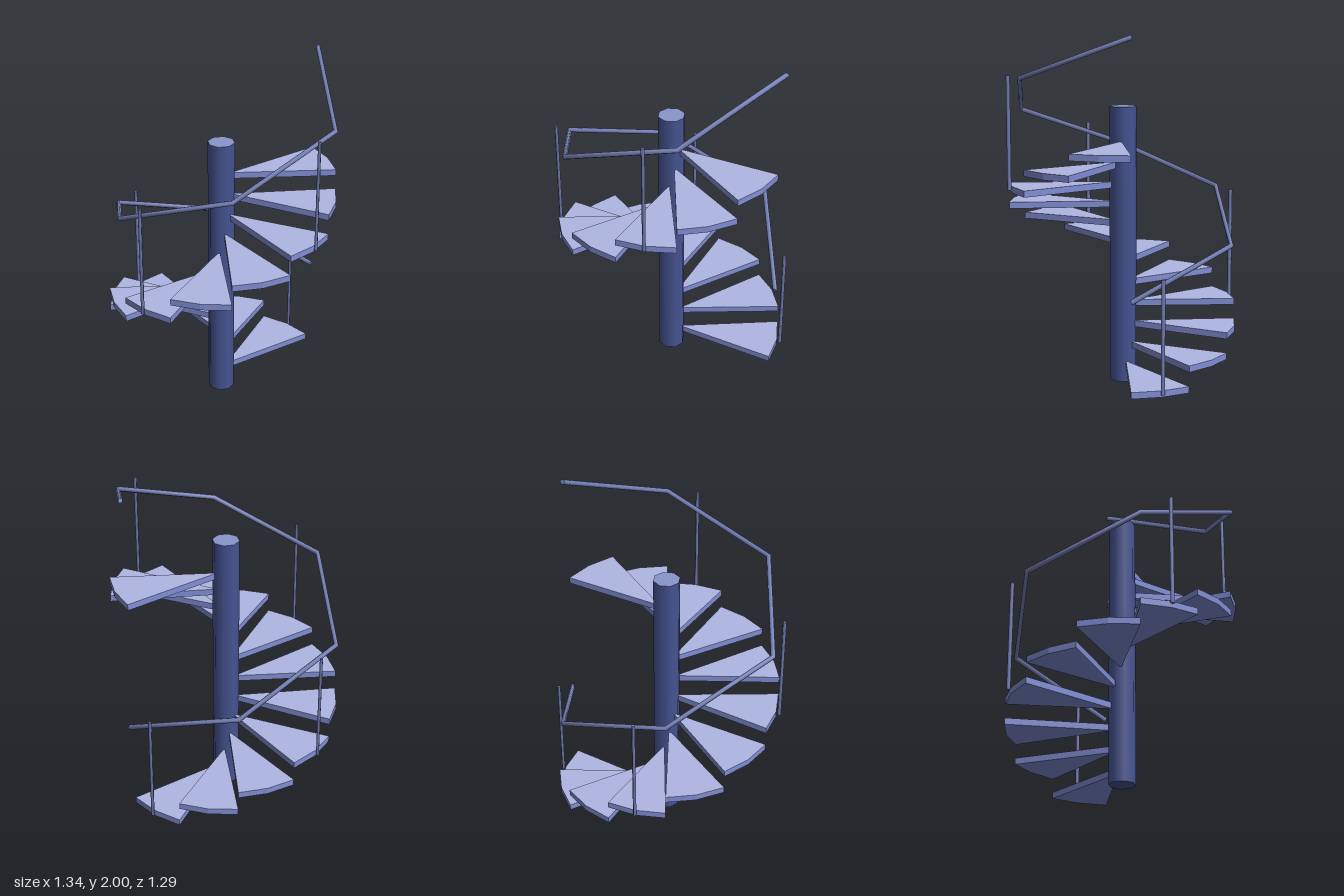
import * as THREE from 'three';

const STEPS = 12;
const TURN = (Math.PI * 2) / STEPS;
const RISE = 0.115;

// Rising circular path; x = r cos, z = -r sin
class Helix extends THREE.Curve {
  constructor(radius, y0, y1) {
    super();
    Object.assign(this, { radius, y0, y1 });
  }
  getPoint(t, target = new THREE.Vector3()) {
    const a = t * Math.PI * 2;
    return target.set(
      this.radius * Math.cos(a),
      this.y0 + (this.y1 - this.y0) * t,
      -this.radius * Math.sin(a)
    );
  }
}

function material(name, color) {
  const m = new THREE.MeshStandardMaterial({ color });
  m.name = name;
  return m;
}

// Wedge whose tip is buried in the pole, with a two-chord outer rim
function treadGeometry(tip, radius, thickness) {
  const at = (r, a) => new THREE.Vector2(r * Math.cos(a), r * Math.sin(a));
  const shape = new THREE.Shape([
    at(tip, TURN / 2), at(radius, 0), at(radius, TURN / 2), at(radius, TURN)
  ]);
  const geo = new THREE.ExtrudeGeometry(shape, { depth: thickness, bevelEnabled: false });
  // Material groups: underside, walking surface, edges
  geo.clearGroups();
  geo.addGroup(0, 6, 0);
  geo.addGroup(6, 6, 1);
  geo.addGroup(12, geo.attributes.position.count - 12, 0);
  return geo.rotateX(-Math.PI / 2);
}

export function createModel() {
  const model = new THREE.Group();
  model.name = 'spiralStaircase';

  const poleBlue = material('pole blue', 0x465492);
  const poleTopBlue = material('pole top blue', 0x8995c8);
  const treadBlue = material('tread edge blue', 0x808ed4);
  const treadTopBlue = material('tread top pale blue', 0xafb6e2);
  const railBlue = material('rail blue', 0x7682ba);

  const add = (name, geometry, mat, parent = model) => {
    const mesh = new THREE.Mesh(geometry, mat);
    mesh.name = name;
    parent.add(mesh);
    return mesh;
  };

  // Central pole: side, top, bottom
  add('centralPole', new THREE.CylinderGeometry(0.0755, 0.0755, 1.575, 8),
    [poleBlue, poleTopBlue, poleBlue]).position.y = 0.7875;

  // Treads, with a baluster beside every third one
  const treads = new THREE.Group();
  treads.name = 'treads';
  const balusters = new THREE.Group();
  balusters.name = 'balusters';
  model.add(treads, balusters);

  const tread = treadGeometry(0.05, 0.64, 0.036);
  const post = new THREE.CylinderGeometry(0.011, 0.011, 0.627, 4);
  for (let i = 0; i < STEPS; i++) {
    const step = add('tread', tread, [treadBlue, treadTopBlue], treads);
    step.position.y = 0.081 + i * RISE;
    step.rotation.y = i * TURN;

    if (i % 3 === 0) {
      const a = (i + 0.5) * TURN;
      add('baluster', post, railBlue, balusters).position.set(
        0.657 * Math.cos(a), 0.412 + i * RISE, -0.657 * Math.sin(a)
      );
    }
  }

  // Six-sided handrail with closed ends
  const path = new Helix(0.657, 0.61, 1.987);
  add('handrail', new THREE.TubeGeometry(path, 6, 0.0145, 6, false), railBlue);
  for (const t of [0, 1]) {
    const cap = add('handrailEnd', new THREE.CircleGeometry(0.0145, 6), railBlue);
    const outward = path.getTangent(t).multiplyScalar(t ? 1 : -1);
    cap.position.copy(path.getPoint(t));
    cap.quaternion.setFromUnitVectors(new THREE.Vector3(0, 0, 1), outward);
  }

  return model;
}
